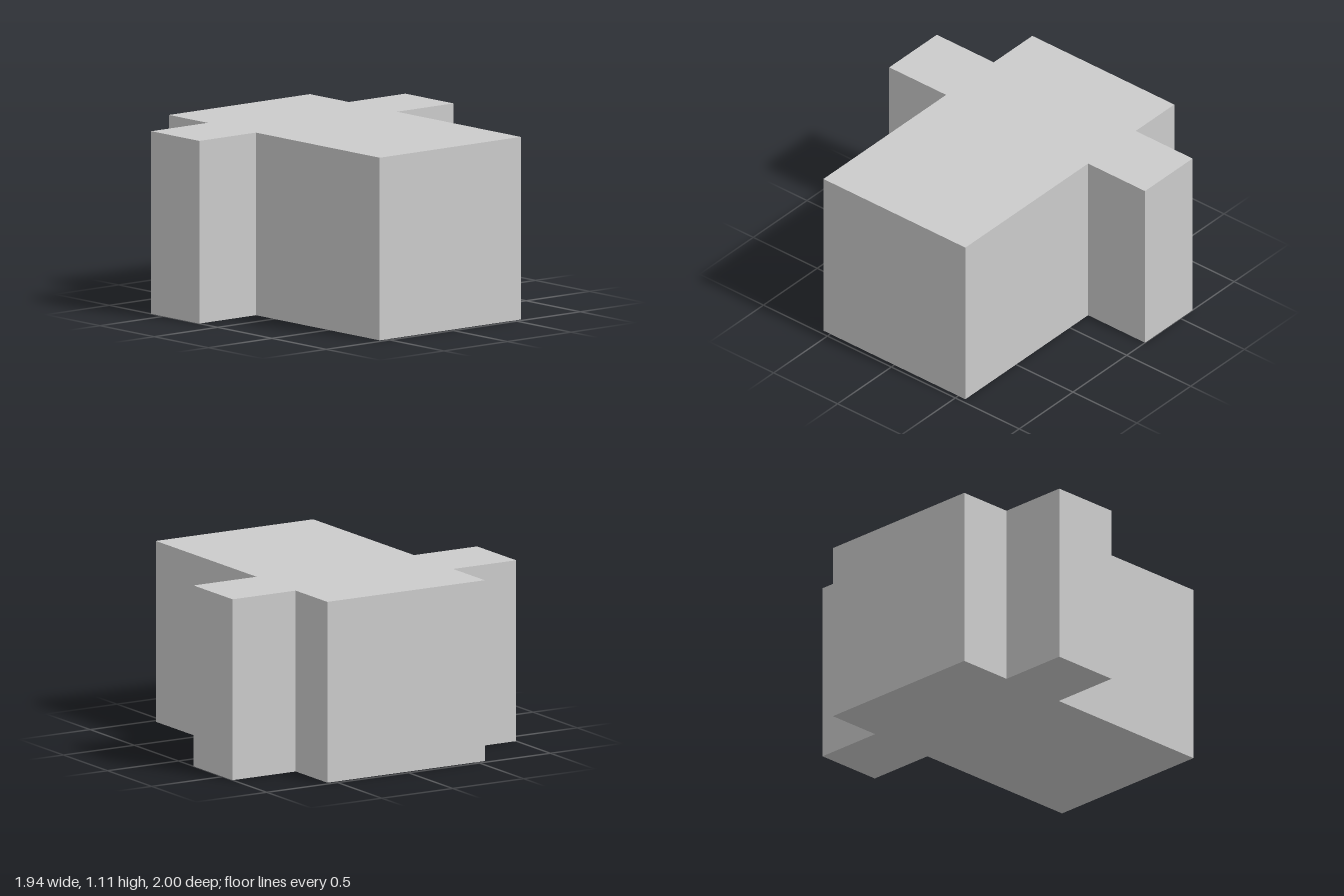
import * as THREE from 'three';

export function createModel() {
  const group = new THREE.Group();
  const material = new THREE.MeshStandardMaterial({ color: 0xcccccc, flatShading: true });

  const height = 1.11;
  const bodyX = 0.972, bodyZ = 0.555;       // half sizes of the main block
  const armL = -0.613, armR = -0.17, armZ = 1; // cross arm span and reach

  // Half of the cross-shaped plan, mirrored for the other side
  const half = [[-bodyX, bodyZ], [armL, bodyZ], [armL, armZ], [armR, armZ], [armR, bodyZ], [bodyX, bodyZ]];
  const mirrored = half.map(([x, z]) => [x, -z]).reverse();
  const plan = new THREE.Shape([...half, ...mirrored].map(([x, z]) => new THREE.Vector2(x, z)));

  // Plan raised to a solid block standing on the ground
  const geometry = new THREE.ExtrudeGeometry(plan, { depth: height, bevelEnabled: false });
  geometry.rotateX(-Math.PI / 2);
  const block = new THREE.Mesh(geometry, material);
  block.name = 'crossBlock';
  group.add(block);

  return group;
}
